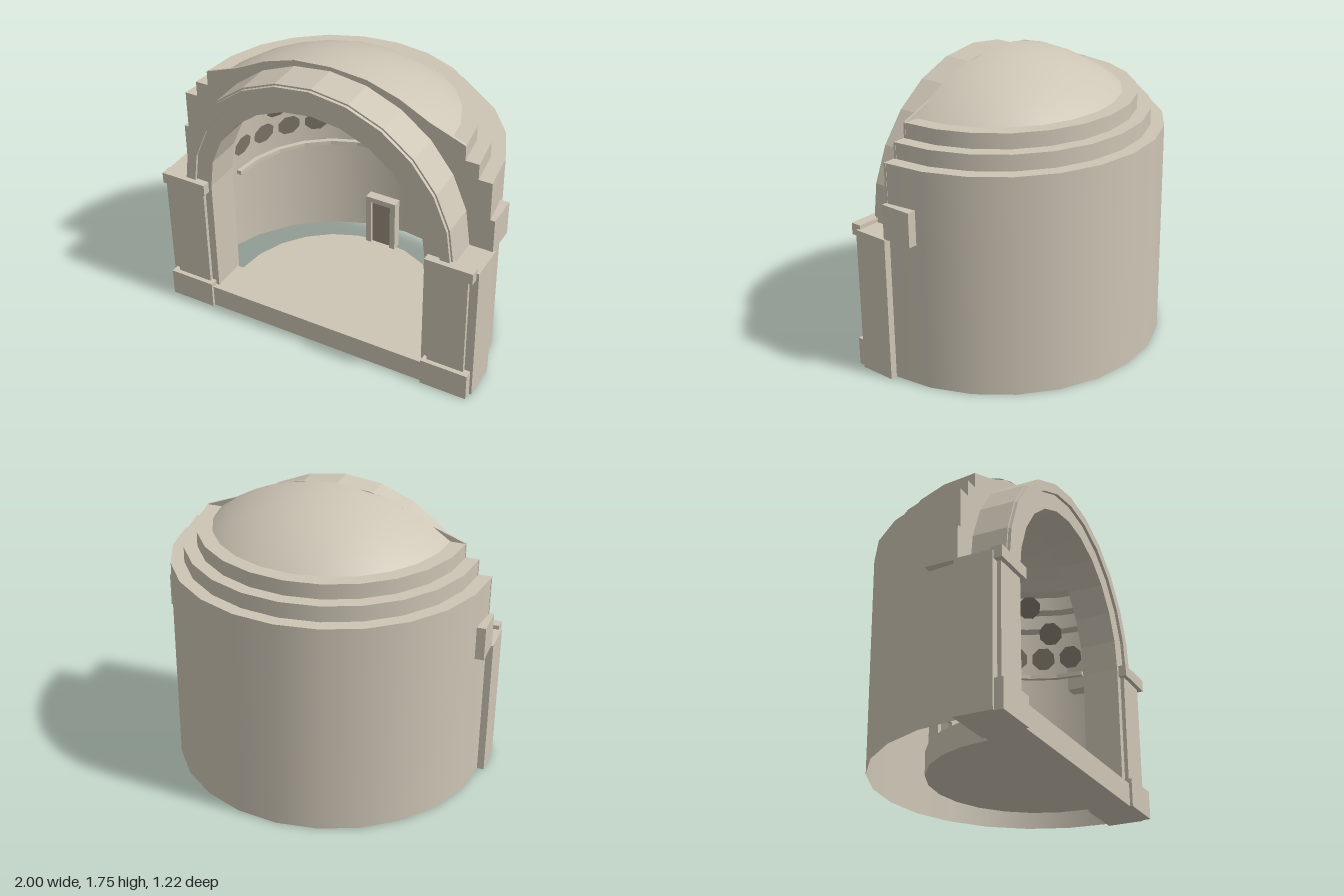
import * as THREE from 'three';

const CZ = 0.35;      // centre line of the apse
const SPRING = 0.875; // springing height of the arch

export function createModel() {
  const group = new THREE.Group();
  const stone = new THREE.MeshStandardMaterial({ color: 0xcdc5b5, side: THREE.DoubleSide });
  stone.name = 'stone';
  const recess = new THREE.MeshStandardMaterial({ color: 0x857d70, side: THREE.DoubleSide });
  recess.name = 'recess';
  const wood = new THREE.MeshStandardMaterial({ color: 0x9a8e80 });
  wood.name = 'door';

  function add(name, geometry, material = stone) {
    const mesh = new THREE.Mesh(geometry, material);
    mesh.name = name;
    group.add(mesh);
    return mesh;
  }
  // box from its limits
  function box(name, x0, x1, y0, y1, z0, z1, material) {
    const m = add(name, new THREE.BoxGeometry(x1 - x0, y1 - y0, z1 - z0), material);
    m.position.set((x0 + x1) / 2, (y0 + y1) / 2, (z0 + z1) / 2);
    return m;
  }
  // the same box on both sides
  function pair(name, x0, x1, ...rest) {
    box(name + 'Left', x0, x1, ...rest);
    box(name + 'Right', -x1, -x0, ...rest);
  }
  // extruded half ring, or half disc when the inner radius is 0
  function halfRing(inner, outer, depth) {
    const s = new THREE.Shape();
    s.absarc(0, 0, outer, 0, Math.PI, false);
    if (inner > 0) s.absarc(0, 0, inner, Math.PI, 0, true);
    return new THREE.ExtrudeGeometry(s, { depth, bevelEnabled: false, curveSegments: 6 });
  }
  function standingArch(name, inner, outer, z0, z1) {
    add(name, halfRing(inner, outer, z1 - z0)).position.set(0, SPRING, z0);
  }
  function lyingArch(name, inner, outer, y0, y1) {
    const g = halfRing(inner, outer, y1 - y0).rotateX(-Math.PI / 2);
    add(name, g).position.set(0, y0, CZ);
  }

  // curved outer wall stepping in towards the dome
  const tiers = [[0.96, 0, 1.315], [0.88, 1.315, 1.41], [0.8, 1.41, 1.5]];
  tiers.forEach(([r, y0, y1], i) => {
    const wall = new THREE.CylinderGeometry(r, r, y1 - y0, 12, 1, true, Math.PI / 2, Math.PI);
    add('wallTier' + (i + 1), wall).position.set(0, (y0 + y1) / 2, CZ);
    const next = i < 2 ? tiers[i + 1][0] : 0.71;
    const tread = new THREE.RingGeometry(next, r, 12, 1, 0, Math.PI).rotateX(-Math.PI / 2);
    add('tread' + (i + 1), tread).position.set(0, y1, CZ);
  });

  // shallow half dome
  const R = 1.133;
  const dome = new THREE.SphereGeometry(R, 12, 6, Math.PI, Math.PI, 0, Math.asin(0.71 / R));
  add('dome', dome).position.set(0, 1.75 - R, CZ);

  // stepped front wall with the arched opening
  const half = [[0.96, 0], [0.96, 1.315], [0.88, 1.315], [0.88, 1.41], [0.8, 1.41],
    [0.8, 1.5], [0.59, 1.58], [0.41, 1.672], [0.22, 1.732]];
  const outline = new THREE.Shape();
  outline.moveTo(0.68, 0);
  half.forEach(([x, y]) => outline.lineTo(x, y));
  outline.lineTo(0, 1.75);
  [...half].reverse().forEach(([x, y]) => outline.lineTo(-x, y));
  outline.lineTo(-0.68, 0);
  outline.absarc(0, SPRING, 0.68, Math.PI, 0, true);
  const front = new THREE.ExtrudeGeometry(outline, { depth: 0.015, bevelEnabled: false, curveSegments: 6 });
  add('frontWall', front).position.z = CZ - 0.015;

  // projecting arch and its moulding
  standingArch('arch', 0.68, 0.85, CZ, 0.557);
  standingArch('archMoulding', 0.78, 0.84, 0.557, 0.575);

  // piers with base, pilaster and capital
  pair('pier', 0.68, 1.0, 0, SPRING, 0.335, 0.557);
  pair('pilaster', 0.725, 0.95, 0.14, 0.85, 0.557, 0.58);
  pair('pierBase', 0.7, 0.985, 0, 0.17, 0.54, 0.607);
  pair('capital', 0.7, 0.985, 0.83, 0.9, 0.54, 0.605);
  pair('sideBlock', 0.85, 0.988, SPRING, 1.08, 0.155, 0.35);

  // floor and front step
  lyingArch('floor', 0, 0.64, 0, 0.14);
  box('frontStep', -0.7, 0.7, 0, 0.14, CZ, 0.59);

  // inner cornice
  lyingArch('cornice', 0.61, 0.638, 0.85, 0.875);

  // door in its frame
  for (const s of [-1, 1]) box('doorJamb', s * 0.0825 - 0.0175, s * 0.0825 + 0.0175, 0.14, 0.485, -0.31, -0.25);
  box('doorLintel', -0.065, 0.065, 0.45, 0.485, -0.31, -0.25);
  box('door', -0.065, 0.065, 0.14, 0.45, -0.3, -0.27, wood);

  // rows of eight-sided coffers: height, radius, angles from the back
  const rows = [
    [1.0, 0.65, Array.from({ length: 12 }, (_, i) => (i - 5.5) * 15)],
    [1.155, 0.615, [-60, 0, 72]],
    [1.3, 0.535, [-75, -45, -15, 15, 59]],
  ];
  for (const [y, r, angles] of rows) {
    for (const deg of angles) {
      const a = THREE.MathUtils.degToRad(deg);
      const c = add('coffer', new THREE.CircleGeometry(0.073, 8, Math.PI / 8), recess);
      c.position.set(r * Math.sin(a), y, CZ - r * Math.cos(a));
      c.lookAt(0, SPRING, CZ);
    }
  }
  return group;
}
